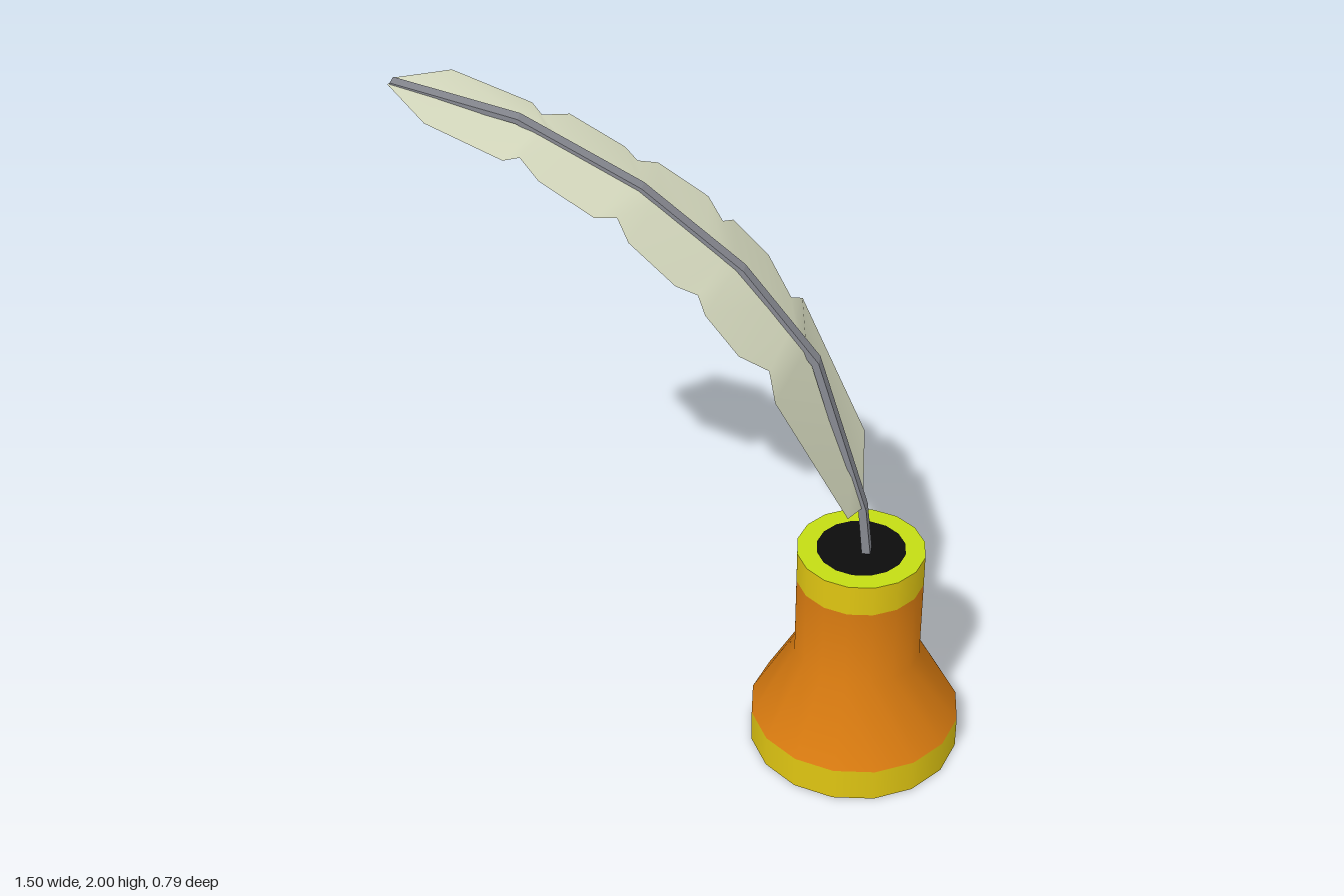
import * as THREE from 'three';

const mat = (name, color, side = THREE.FrontSide) => {
  const m = new THREE.MeshStandardMaterial({ color, side });
  m.name = name;
  return m;
};

// Builds an indexed, smooth geometry from points and triangles
function geometryFrom(points, index) {
  const g = new THREE.BufferGeometry().setFromPoints(points);
  g.setIndex(index);
  g.computeVertexNormals();
  return g;
}

const V = (x, y, z) => new THREE.Vector3(x, y, z);

// Shaft path, from inside the ink to the feather's tip
const SHAFT = [
  V(0.463, 0.62, 0.1), V(0.443, 0.81, 0.097), V(0.31, 1.27, 0.045), V(0.12, 1.53, -0.02),
  V(-0.13, 1.75, -0.1), V(-0.43, 1.92, -0.2), V(-0.74, 1.997, -0.298),
];

// Point of the shaft at a given height
function shaftAt(y) {
  let i = 1;
  while (i < SHAFT.length - 1 && SHAFT[i].y < y) i++;
  const a = SHAFT[i - 1], b = SHAFT[i];
  return a.clone().lerp(b, Math.min(1, (y - a.y) / (b.y - a.y)));
}

// Notched outer edges of the two vanes, from bottom to tip
const BACK_EDGE = [
  [0.485, 0.92, -0.108], [0.32, 1.305, -0.212], [0.28, 1.34, -0.163], [0.23, 1.43, -0.243],
  [0.135, 1.54, -0.257], [0.1, 1.565, -0.213], [0.07, 1.61, -0.27], [-0.06, 1.71, -0.293],
  [-0.12, 1.745, -0.25], [-0.145, 1.755, -0.31], [-0.285, 1.85, -0.335], [-0.36, 1.87, -0.304],
  [-0.38, 1.88, -0.355], [-0.58, 1.97, -0.395], [-0.73, 2, -0.315],
];
const FRONT_EDGE = [
  [0.36, 0.92, 0.283], [0.16, 1.305, 0.272], [0.155, 1.36, 0.205], [0.07, 1.435, 0.238],
  [-0.01, 1.54, 0.198], [-0.02, 1.565, 0.14], [-0.08, 1.61, 0.16], [-0.19, 1.715, 0.108],
  [-0.21, 1.75, 0.04], [-0.27, 1.77, 0.067], [-0.4, 1.85, 0.003], [-0.44, 1.885, -0.06],
  [-0.485, 1.895, -0.034], [-0.67, 1.97, -0.117], [-0.75, 2, -0.28],
];

// Strip between the shaft and one outer edge
function vaneGeometry(edge, flip) {
  const points = [shaftAt(0.81)], index = [];
  for (const [x, y, z] of edge) points.push(shaftAt(y), V(x, y, z));
  const tri = (a, b, c) => index.push(...(flip ? [a, c, b] : [a, b, c]));
  tri(0, 2, 1);
  for (let i = 1; i + 3 < points.length; i += 2) {
    tri(i, i + 1, i + 3);
    tri(i, i + 3, i + 2);
  }
  return geometryFrom(points, index);
}

// Four-sided tapering bar along the shaft path
function shaftGeometry() {
  const side = V(0.312, 0, -0.95).normalize();
  const points = [], index = [];
  SHAFT.forEach((p, i) => {
    const tangent = SHAFT[Math.min(i + 1, SHAFT.length - 1)].clone().sub(SHAFT[Math.max(i - 1, 0)]).normalize();
    const up = new THREE.Vector3().crossVectors(side, tangent).normalize();
    const w = 0.02 - 0.003 * i / (SHAFT.length - 1), h = 0.012 - 0.006 * i / (SHAFT.length - 1);
    for (const [a, b] of [[1, 1], [-1, 1], [-1, -1], [1, -1]]) {
      points.push(p.clone().addScaledVector(side, a * w).addScaledVector(up, b * h));
    }
  });
  for (let i = 0; i < SHAFT.length - 1; i++) {
    for (let j = 0; j < 4; j++) {
      const a = i * 4 + j, b = i * 4 + (j + 1) % 4;
      index.push(a, b, b + 4, a, b + 4, a + 4);
    }
  }
  const e = points.length - 4;
  index.push(0, 2, 1, 0, 3, 2, e, e + 1, e + 2, e, e + 2, e + 3);
  const g = geometryFrom(points, index).toNonIndexed();
  g.computeVertexNormals();
  return g;
}

export function createModel() {
  const orange = mat('orange glaze', 0xd97b10);
  const yellow = mat('yellow trim', 0xdfc512);
  const lime = mat('lime rim', 0xc4dc14);
  const black = mat('black ink', 0x0c0c0c);
  const cream = mat('cream feather', 0xdce0c4, THREE.DoubleSide);
  const grey = mat('grey shaft', 0x888a92, THREE.DoubleSide);

  const model = new THREE.Group();
  model.name = 'quillAndInkwell';
  const add = (parent, name, geometry, material) => {
    const mesh = new THREE.Mesh(geometry, material);
    mesh.name = name;
    parent.add(mesh);
    return mesh;
  };

  // Inkwell
  const well = new THREE.Group();
  well.name = 'inkwell';
  well.position.set(0.445, 0, 0.09);
  model.add(well);
  const turned = (...pts) => new THREE.LatheGeometry(pts.map(([r, y]) => new THREE.Vector2(r, y)), 16);
  add(well, 'baseBand', turned([0.3, 0], [0.3, 0.1]), yellow);
  add(well, 'body', turned([0.3, 0.1], [0.18, 0.32], [0.18, 0.57]), orange);
  add(well, 'neckBand', turned([0.18, 0.57], [0.18, 0.665]), yellow);
  add(well, 'underside', new THREE.CircleGeometry(0.3, 16).rotateX(Math.PI / 2), orange);
  add(well, 'rim', new THREE.RingGeometry(0.125, 0.18, 16).rotateX(-Math.PI / 2), lime).position.y = 0.665;
  add(well, 'ink', new THREE.CircleGeometry(0.125, 16).rotateX(-Math.PI / 2), black).position.y = 0.665;

  // Quill
  const quill = new THREE.Group();
  quill.name = 'quill';
  model.add(quill);
  add(quill, 'shaft', shaftGeometry(), grey);
  add(quill, 'backVane', vaneGeometry(BACK_EDGE, false), cream);
  add(quill, 'frontVane', vaneGeometry(FRONT_EDGE, true), cream);

  return model;
}
